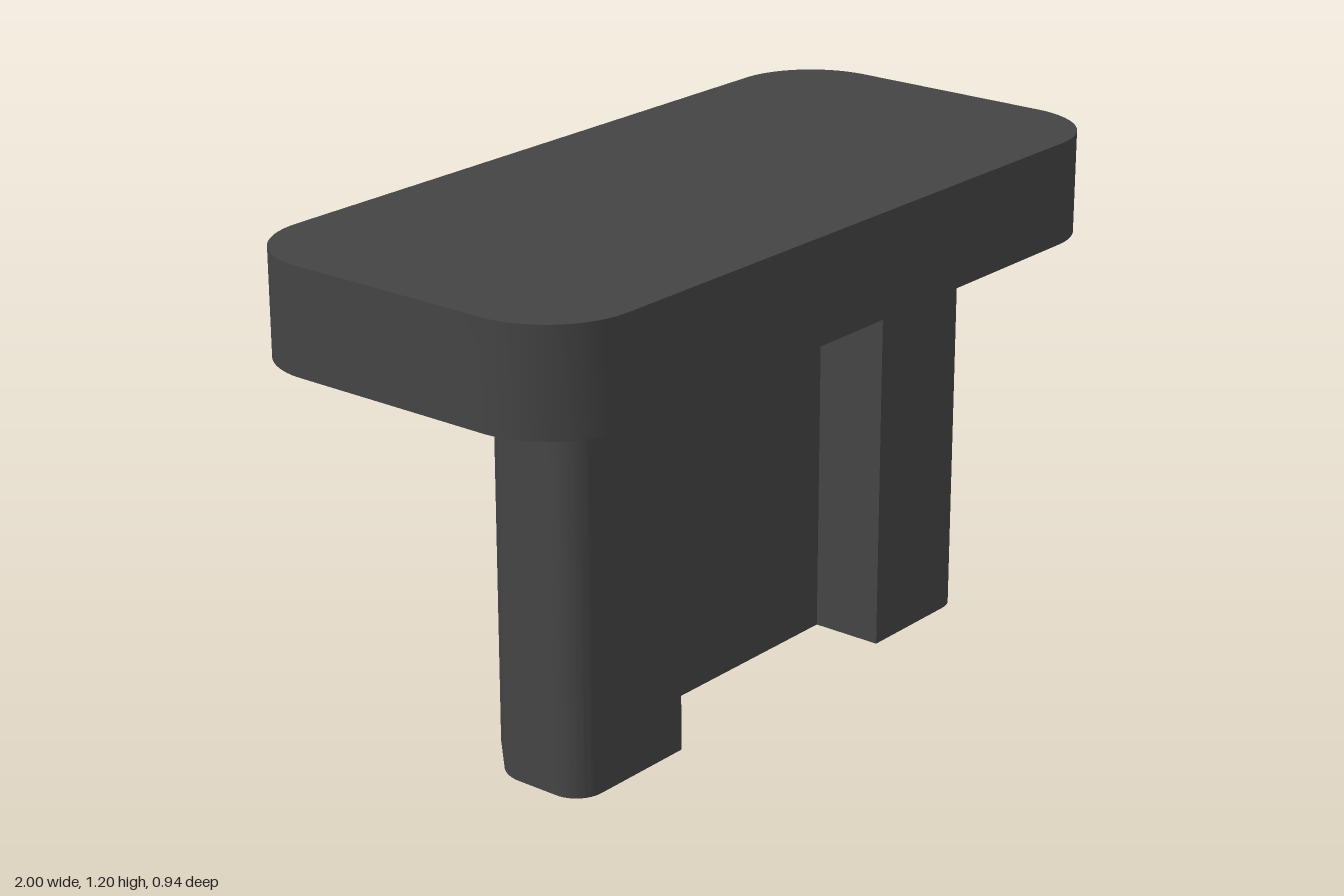
import * as THREE from 'three';
import { toCreasedNormals } from 'three/addons/utils/BufferGeometryUtils.js';

// Polygon of [x, z, radius] corners; each corner is rounded by its radius.
function roundedOutline(corners) {
  const shape = new THREE.Shape();
  const n = corners.length;
  const at = (i) => new THREE.Vector2(corners[(i + n) % n][0], -corners[(i + n) % n][1]);
  for (let i = 0; i < n; i++) {
    const p = at(i), r = corners[i][2];
    const toPrev = at(i - 1).sub(p).normalize();
    const toNext = at(i + 1).sub(p).normalize();
    const half = Math.acos(THREE.MathUtils.clamp(toPrev.dot(toNext), -1, 1)) / 2;
    const t = r / Math.tan(half);
    const a = p.clone().addScaledVector(toPrev, t);
    if (i === 0) shape.moveTo(a.x, a.y); else shape.lineTo(a.x, a.y);
    if (r === 0) continue;
    // True arc about the corner's centre
    const c = toPrev.clone().add(toNext).normalize().multiplyScalar(r / Math.sin(half)).add(p);
    const b = p.clone().addScaledVector(toNext, t);
    const a0 = Math.atan2(a.y - c.y, a.x - c.x);
    const a1 = Math.atan2(b.y - c.y, b.x - c.x);
    const clockwise = toPrev.cross(toNext) > 0;
    shape.absarc(c.x, c.y, r, a0, a1, clockwise);
  }
  shape.closePath();
  return shape;
}

// Upright prism from an outline in the xz plane.
function prism(name, corners, y0, y1, material) {
  const geo = new THREE.ExtrudeGeometry(roundedOutline(corners), {
    depth: y1 - y0, bevelEnabled: false, curveSegments: 12,
  });
  geo.rotateX(-Math.PI / 2).translate(0, y0, 0);
  const mesh = new THREE.Mesh(toCreasedNormals(geo, Math.PI / 6), material);
  mesh.name = name;
  return mesh;
}

export function createModel() {
  const group = new THREE.Group();
  group.name = 'plug';
  const material = new THREE.MeshStandardMaterial({ color: 0x444444 });

  // Wide cap with rounded corners
  group.add(prism('cap', [
    [-1, 0.472, 0.21], [1, 0.472, 0.21], [1, -0.472, 0.21], [-1, -0.472, 0.21],
  ], 0.95, 1.2, material));

  // Stem: slot in the front, chamfered back corners; right half is mirrored
  const half = [
    [0.372, 0.085, 0], [0.372, 0.265, 0], [0.72, 0.265, 0.07],
    [0.72, 0.045, 0.1], [0.565, -0.112, 0.1],
  ];
  const mirrored = half.map(([x, z, r]) => [-x, z, r]).reverse();
  group.add(prism('stem', [...half, ...mirrored], 0, 0.95, material));

  return group;
}
